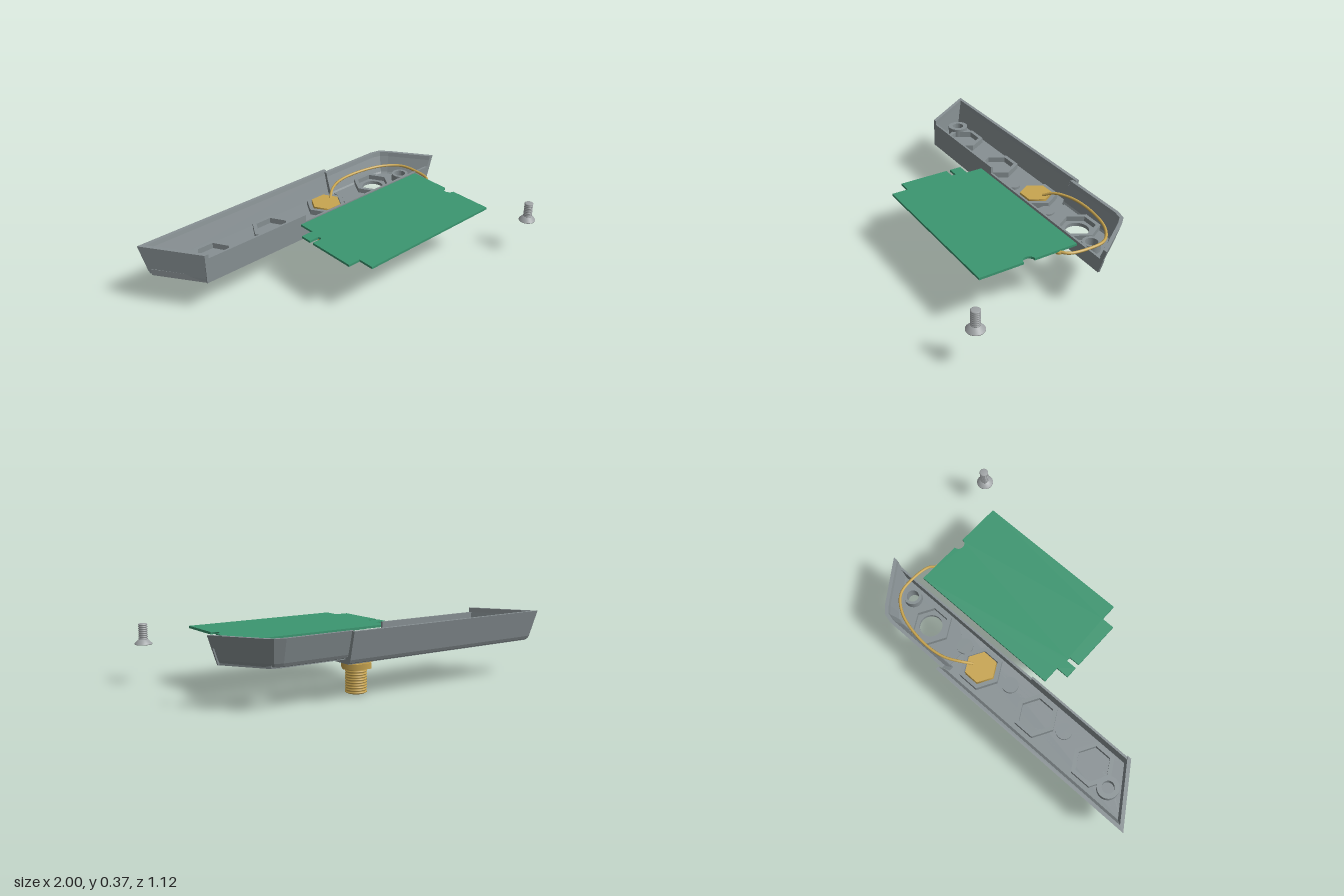
import * as THREE from 'three';

export function createModel() {
  const model = new THREE.Group();
  const mat = (name, color, side = THREE.FrontSide) => {
    const m = new THREE.MeshStandardMaterial({ color, side });
    m.name = name;
    return m;
  };
  const grey = mat('shell grey', 0x879093, THREE.DoubleSide);
  const green = mat('board green', 0x3b9670);
  const gold = mat('brass', 0xc8a550);
  const steel = mat('screw steel', 0x9fa3a5);

  const add = (name, geo, material, x = 0, y = 0, z = 0) => {
    const mesh = new THREE.Mesh(geo, material);
    mesh.name = name;
    mesh.position.set(x, y, z);
    model.add(mesh);
    return mesh;
  };

  // Plan outline in x and z, raised into a plate from y0 to y1
  const planShape = (pts) => new THREE.Shape(pts.map(([x, z]) => new THREE.Vector2(x, -z)));
  const plate = (shape, y0, y1) =>
    new THREE.ExtrudeGeometry(shape, { depth: y1 - y0, bevelEnabled: false, curveSegments: 24 })
      .rotateX(-Math.PI / 2).translate(0, y0, 0);
  const circle = (x, z, r) => new THREE.Path().absarc(x, -z, r, 0, Math.PI * 2, true);
  const hexPoints = (x, z, r) => Array.from({ length: 6 }, (_, i) =>
    [x + r * Math.cos(i * Math.PI / 3), z + r * Math.sin(i * Math.PI / 3)]);

  // Wall swept along a plan path; the first and last edges only set the cut planes.
  // Section entries are [lean, thickness, y]; leans holds how much each edge tilts.
  function sweepWall(path, leans, section) {
    const line = (i, lean, thick) => {
      const [ax, az] = path[i], [bx, bz] = path[i + 1];
      const len = Math.hypot(bx - ax, bz - az);
      const dx = (bx - ax) / len, dz = (bz - az) / len;
      const cut = i === 0 || i === path.length - 2;
      const d = cut ? 0 : lean * leans[i - 1] + thick;
      return { x: ax + dz * d, z: az - dx * d, dx, dz };
    };
    const rings = [];
    for (let s = 1; s < path.length - 1; s++) {
      rings.push(section.map(([lean, thick, y]) => {
        const a = line(s - 1, lean, thick), b = line(s, lean, thick);
        const den = a.dx * b.dz - a.dz * b.dx;
        const t = ((b.x - a.x) * b.dz - (b.z - a.z) * b.dx) / den;
        return [a.x + a.dx * t, y, a.z + a.dz * t];
      }));
    }
    const pos = [], n = section.length;
    const tri = (a, b, c) => pos.push(...a, ...b, ...c);
    for (let s = 0; s < rings.length - 1; s++) {
      for (let k = 0; k < n; k++) {
        const j = (k + 1) % n, p = rings[s], q = rings[s + 1];
        tri(p[k], q[k], q[j]);
        tri(p[k], q[j], p[j]);
      }
    }
    const first = rings[0], last = rings[rings.length - 1];
    for (let k = 1; k < n - 1; k++) {
      tri(first[0], first[k], first[k + 1]);
      tri(last[0], last[k + 1], last[k]);
    }
    const geo = new THREE.BufferGeometry();
    geo.setAttribute('position', new THREE.Float32BufferAttribute(pos, 3));
    geo.computeVertexNormals();
    return geo;
  }
  const wallSection = (y0) => [
    [0.055, 0.002, y0], [0.042, 0, y0 + 0.008], [0.034, 0, y0 + 0.025], [0, 0, 0.37],
    [0, 0.02, 0.37], [0.005, 0.02, 0.345], [0.035, 0.022, y0 + 0.03], [0.055, 0.02, y0],
  ];

  // Shell walls: main part and the slightly inset end part
  add('mainWall', sweepWall(
    [[0.3, -0.9], [0.3, -0.557], [-1, -0.557], [-0.79, -0.24], [0, -0.24]],
    [1, 0.1], wallSection(0.197)), grey);
  add('endWall', sweepWall(
    [[0, -0.24], [0.935, -0.24], [0.772, -0.47], [0.73, -0.515], [0.67, -0.53], [0.28, -0.53], [0.28, -0.9]],
    [1, 1, 1, 1], wallSection(0.22)), grey);

  // Thin front wall with its stepped top and bottom
  const front = new THREE.Shape([
    [-0.79, 0.197], [0.46, 0.197], [0.46, 0.22], [0.885, 0.22], [0.912, 0.305],
    [-0.11, 0.305], [-0.11, 0.345], [-0.79, 0.345],
  ].map(([x, y]) => new THREE.Vector2(x, y)));
  add('frontWall', new THREE.ExtrudeGeometry(front, { depth: 0.012, bevelEnabled: false }), grey, 0, 0, -0.252);

  // Floors with connector and screw holes
  const connectors = [-0.65, -0.25, 0.155, 0.54], rowZ = -0.372;
  const mainFloor = planShape([[-0.785, -0.241], [0.46, -0.241], [0.3, -0.35], [0.3, -0.505], [-0.965, -0.505]]);
  mainFloor.holes.push(...connectors.slice(0, 3).map((x) => circle(x, rowZ, 0.064)), circle(-0.79, -0.415, 0.034));
  add('mainFloor', plate(mainFloor, 0.197, 0.235), grey);
  const endFloor = planShape([[0.46, -0.241], [0.885, -0.241], [0.72, -0.47], [0.67, -0.482], [0.3, -0.482], [0.3, -0.35]]);
  endFloor.holes.push(circle(0.54, rowZ, 0.064), circle(0.725, -0.32, 0.034));
  add('endFloor', plate(endFloor, 0.22, 0.24), grey);

  // Hexagonal nut seats around the connector holes
  connectors.forEach((x) => {
    const seat = planShape(hexPoints(x, rowZ, 0.122));
    seat.holes.push(new THREE.Path(hexPoints(x, rowZ, 0.097).map(([a, b]) => new THREE.Vector2(a, -b))));
    add('nutSeat', plate(seat, 0.23, 0.268), grey);
  });
  // Round pads and screw bosses
  [-0.418, -0.028, 0.312].forEach((x) =>
    add('roundPad', new THREE.CylinderGeometry(0.045, 0.045, 0.02, 32), grey, x, 0.24, -0.335));
  [[-0.79, -0.415, 0.06], [0.725, -0.32, 0.05]].forEach(([x, z, r]) => {
    const boss = new THREE.Shape().absarc(x, -z, r, 0, Math.PI * 2, false);
    boss.holes.push(circle(x, z, 0.034));
    add('screwBoss', plate(boss, 0.225, 0.285), grey);
  });

  // Circuit board with notches
  const board = planShape([
    [-0.245, 0.27], [-0.17, 0.27], [-0.17, 0.365], [0.743, 0.365],
    ...Array.from({ length: 13 }, (_, i) => {
      const a = i * Math.PI / 12;
      return [0.743 - 0.033 * Math.sin(a), 0.077 + 0.033 * Math.cos(a)];
    }),
    [0.743, -0.21], [-0.17, -0.21], [-0.17, -0.112], [-0.245, -0.112], [-0.245, -0.045],
    [-0.185, -0.045], [-0.18, -0.032], [-0.185, -0.02], [-0.245, -0.02],
  ]);
  add('circuitBoard', plate(board, 0.308, 0.321), green);
  // Shield frame and small chips under the board
  const frame = planShape([[-0.13, 0.22], [0.49, 0.22], [0.49, -0.06], [-0.13, -0.06]]);
  frame.holes.push(new THREE.Path([[-0.105, 0.195], [0.465, 0.195], [0.465, -0.035], [-0.105, -0.035]]
    .map(([x, z]) => new THREE.Vector2(x, -z))));
  add('shieldFrame', plate(frame, 0.277, 0.309), green);
  add('shieldPlate', new THREE.BoxGeometry(0.59, 0.02, 0.25), green, 0.18, 0.296, 0.08);
  for (let i = 0; i < 4; i++) {
    add('chip', new THREE.BoxGeometry(0.09, 0.008, 0.05), green, 0 + i * 0.12, 0.284, i % 2 ? 0.12 : 0.04);
  }
  add('cablePlug', new THREE.CylinderGeometry(0.018, 0.018, 0.012, 20), gold, 0.735, 0.303, -0.105);

  // Antenna cable
  const cable = new THREE.CatmullRomCurve3([
    [0.2, 0.275, -0.385], [0.25, 0.3, -0.425], [0.35, 0.305, -0.472], [0.5, 0.305, -0.482], [0.68, 0.305, -0.44],
    [0.775, 0.305, -0.36], [0.792, 0.305, -0.26], [0.775, 0.305, -0.14], [0.74, 0.305, -0.105],
  ].map((p) => new THREE.Vector3(...p)));
  add('cable', new THREE.TubeGeometry(cable, 64, 0.008, 8), gold);

  // Threaded profile turned around the y axis
  const thread = (y0, y1, rIn, rOut, turns) => {
    const pts = [new THREE.Vector2(0, y0)], step = (y1 - y0) / turns;
    for (let i = 0; i < turns; i++) {
      pts.push(new THREE.Vector2(rIn, y0 + i * step), new THREE.Vector2(rOut, y0 + (i + 0.35) * step),
        new THREE.Vector2(rOut, y0 + (i + 0.65) * step));
    }
    pts.push(new THREE.Vector2(rIn, y1), new THREE.Vector2(0, y1));
    return new THREE.LatheGeometry(pts, 32).toNonIndexed();
  };
  // Coaxial connector: hex base, washer, nut, thread and tip
  const cx = 0.155;
  const hex = (r, h) => new THREE.CylinderGeometry(r, r, h, 6).rotateY(Math.PI / 6);
  add('connectorBase', hex(0.09, 0.045), gold, cx, 0.2525, rowZ);
  add('connectorNeck', new THREE.CylinderGeometry(0.062, 0.062, 0.11, 32), gold, cx, 0.195, rowZ);
  add('washer', new THREE.CylinderGeometry(0.096, 0.096, 0.01, 40), gold, cx, 0.188, rowZ);
  add('nut', hex(0.086, 0.03), gold, cx, 0.16, rowZ);
  add('connectorThread', thread(0.012, 0.15, 0.048, 0.057, 10), gold, cx, 0, rowZ);
  add('connectorTip', new THREE.CylinderGeometry(0.012, 0.003, 0.013, 16), gold, cx, 0.0065, rowZ);

  // Loose countersunk screw, head down
  const head = new THREE.LatheGeometry([[0.024, 0.22], [0.048, 0.22], [0.048, 0.224], [0.022, 0.252], [0, 0.252]]
    .map((p) => new THREE.Vector2(...p)), 32).toNonIndexed();
  add('screwHead', head, steel, 0.95, 0, 0.51);
  const socket = new THREE.CylinderGeometry(0.024, 0.02, 0.014, 6, 1, true).rotateX(Math.PI).scale(-1, 1, 1);
  const socketIndex = socket.index.array;
  for (let i = 0; i < socketIndex.length; i += 3) {
    [socketIndex[i], socketIndex[i + 1]] = [socketIndex[i + 1], socketIndex[i]];
  }
  const socketMesh = add('screwSocket', socket, grey, 0.95, 0.227, 0.51);
  socketMesh.rotation.y = Math.PI / 6;
  add('screwSocketFloor', new THREE.CylinderGeometry(0.022, 0.022, 0.004, 6), steel, 0.95, 0.234, 0.51);
  add('screwThread', thread(0.245, 0.334, 0.02, 0.025, 8), steel, 0.95, 0, 0.51);

  return model;
}
